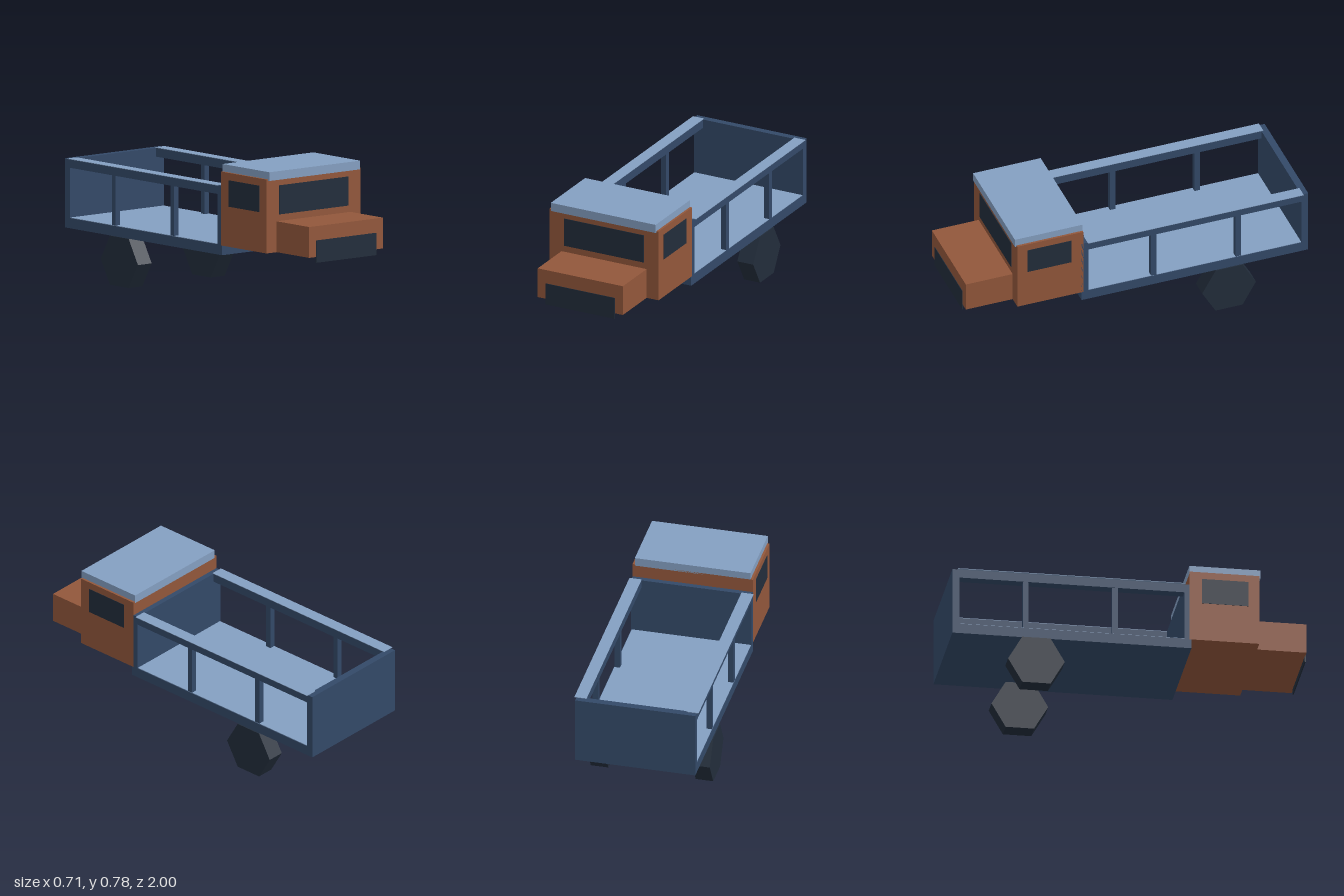
import * as THREE from 'three';

const mat = (name, color) => {
  const m = new THREE.MeshStandardMaterial({ color });
  m.name = name;
  return m;
};

export function createModel() {
  const truck = new THREE.Group();
  truck.name = 'truck';
  const rust = mat('rust brown', 0x92573b);
  const navy = mat('navy blue', 0x334968);
  const pale = mat('pale blue', 0x849fc1);
  const dark = mat('dark slate', 0x222d3b);

  // box given by its min and max on each axis
  const box = (name, material, [x0, x1], [y0, y1], [z0, z1]) => {
    const mesh = new THREE.Mesh(new THREE.BoxGeometry(x1 - x0, y1 - y0, z1 - z0), material);
    mesh.position.set((x0 + x1) / 2, (y0 + y1) / 2, (z0 + z1) / 2);
    mesh.name = name;
    truck.add(mesh);
    return mesh;
  };
  // same, mirrored in x
  const pair = (name, material, [x0, x1], y, z) => {
    box(name + 'Left', material, [x0, x1], y, z);
    box(name + 'Right', material, [-x1, -x0], y, z);
  };

  // cab, hood and roof
  box('cab', rust, [-0.343, 0.343], [0.33, 0.744], [0.33, 0.72]);
  box('hood', rust, [-0.268, 0.268], [0.33, 0.503], [0.72, 0.997]);
  box('roof', pale, [-0.33, 0.33], [0.736, 0.785], [0.33, 0.73]);

  // windows and grille
  box('windshield', dark, [-0.25, 0.25], [0.54, 0.703], [0.719, 0.723]);
  pair('sideWindow', dark, [0.342, 0.345], [0.555, 0.703], [0.4, 0.66]);
  box('grille', dark, [-0.218, 0.218], [0.298, 0.423], [0.994, 1]);

  // cargo bed: base, end walls, floor
  box('bedBase', navy, [-0.343, 0.343], [0.276, 0.333], [-1, 0.34]);
  box('bedFrontWall', navy, [-0.343, 0.343], [0.333, 0.664], [0.3, 0.34]);
  box('bedBackWall', navy, [-0.343, 0.343], [0.333, 0.664], [-1, -0.96]);
  box('bedFloor', pale, [-0.34, 0.34], [0.333, 0.336], [-0.96, 0.3]);

  // side rails with pale caps, and posts
  pair('rail', navy, [0.285, 0.343], [0.615, 0.664], [-0.96, 0.3]);
  pair('railCap', pale, [0.285, 0.354], [0.664, 0.667], [-0.97, 0.306]);
  for (const z of [-0.088, -0.588]) {
    pair('post', navy, [0.308, 0.34], [0.333, 0.615], [z - 0.016, z + 0.016]);
  }

  // six-sided rear wheels
  const wheelGeo = new THREE.CylinderGeometry(0.159, 0.159, 0.1, 6).rotateZ(Math.PI / 2).toNonIndexed();
  wheelGeo.computeVertexNormals();
  for (const side of [1, -1]) {
    const wheel = new THREE.Mesh(wheelGeo, dark);
    wheel.name = side > 0 ? 'wheelLeft' : 'wheelRight';
    wheel.position.set(side * 0.299, 0.1385, -0.53);
    truck.add(wheel);
  }
  return truck;
}
